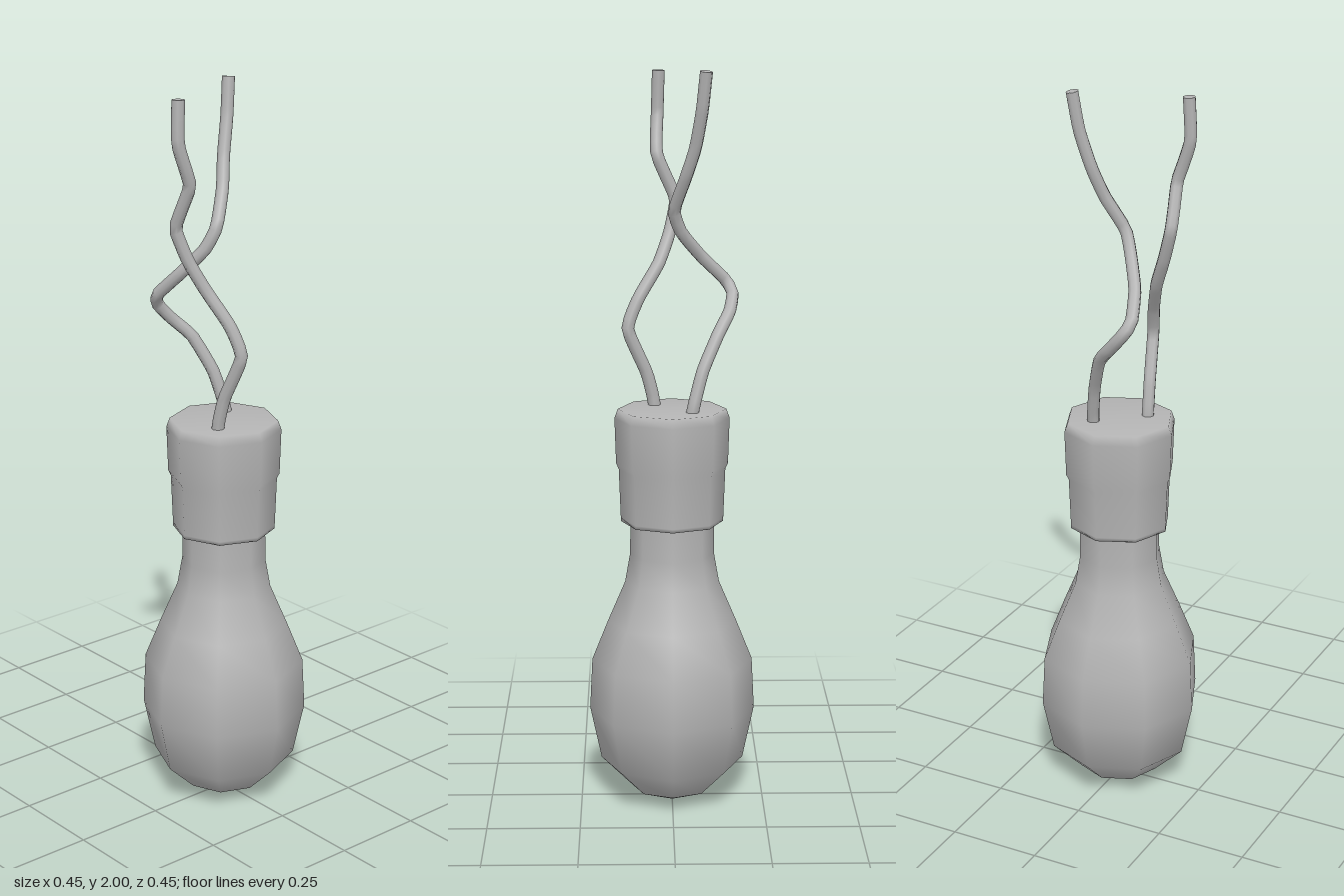
import * as THREE from 'three';

const grey = new THREE.MeshStandardMaterial({ color: 0xb4b4b4 });
grey.name = 'grey';

// Eight-sided turned part from [radius, height] pairs, bottom to top
function turned(name, profile) {
  const points = profile.map(([r, y]) => new THREE.Vector2(r, y));
  const mesh = new THREE.Mesh(new THREE.LatheGeometry(points, 8), grey);
  mesh.name = name;
  return mesh;
}

// Bent wire along a path, with a cap on its free end
function wire(name, path) {
  const radius = 0.017;
  const curve = new THREE.CatmullRomCurve3(
    path.map((p) => new THREE.Vector3(...p)), false, 'catmullrom', 0.25);
  const group = new THREE.Group();
  group.name = name;
  const tube = new THREE.Mesh(new THREE.TubeGeometry(curve, 40, radius, 8), grey);
  tube.name = name + 'Strand';
  const cap = new THREE.Mesh(new THREE.CircleGeometry(radius, 8), grey);
  cap.name = name + 'End';
  cap.position.copy(curve.getPoint(1));
  cap.quaternion.setFromUnitVectors(new THREE.Vector3(0, 0, 1), curve.getTangent(1));
  group.add(tube, cap);
  return group;
}

export function createModel() {
  const model = new THREE.Group();
  model.name = 'lightBulb';

  // Pear-shaped glass with a narrow neck
  model.add(turned('bulb', [
    [0, 0.005], [0.05, 0.01], [0.112, 0.035], [0.195, 0.115], [0.226, 0.26],
    [0.219, 0.4], [0.175, 0.51], [0.128, 0.62], [0.114, 0.7], [0.113, 0.82],
  ]));

  // Socket with a small step around its middle
  model.add(turned('socket', [
    [0.1, 0.79], [0.139, 0.79], [0.139, 0.8], [0.144, 0.935],
    [0.151, 0.95], [0.155, 1.075], [0.146, 1.1], [0, 1.1],
  ]));

  // Two loosely twisted supply wires
  model.add(wire('rightWire', [
    [-0.05, 1.08, -0.052], [-0.058, 1.12, -0.05], [-0.082, 1.21, -0.032], [-0.125, 1.305, 0.005],
    [-0.155, 1.355, 0.05], [-0.165, 1.4, 0.09], [-0.145, 1.435, 0.108],
    [-0.08, 1.5, 0.085], [-0.025, 1.57, 0.045], [-0.006, 1.63, 0.02],
    [-0.035, 1.72, -0.025], [-0.06, 1.8, -0.05], [-0.077, 1.9, -0.076], [-0.087, 2.0, -0.09],
  ]));
  model.add(wire('leftWire', [
    [0.045, 1.08, 0.06], [0.05, 1.12, 0.06], [0.068, 1.19, 0.055], [0.118, 1.31, 0.04],
    [0.09, 1.39, 0.055], [0.035, 1.48, 0.09], [0.005, 1.56, 0.125],
    [-0.012, 1.645, 0.152], [0.01, 1.7, 0.15], [0.038, 1.765, 0.145],
    [0.04, 1.81, 0.16], [0.037, 1.88, 0.182], [0.034, 1.99, 0.178],
  ]));

  return model;
}
